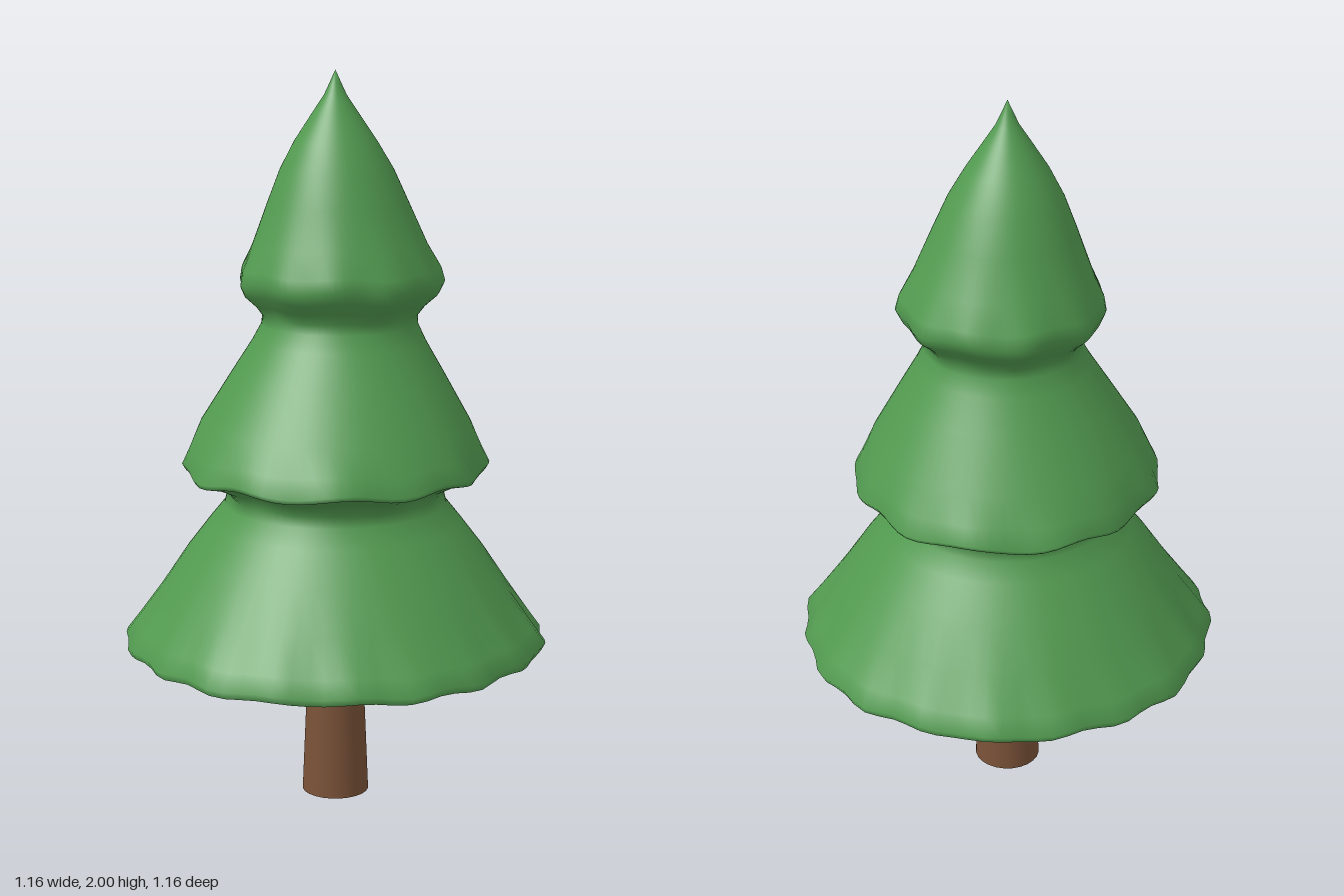
import * as THREE from 'three';
import { mergeVertices } from 'three/addons/utils/BufferGeometryUtils.js';

const leafGreen = new THREE.MeshStandardMaterial({ color: 0x529a50 });
leafGreen.name = 'leaf green';
const barkBrown = new THREE.MeshStandardMaterial({ color: 0x7a5238 });
barkBrown.name = 'bark brown';

// Tier rims: height, how far the waviness reaches, and a phase for variety
const RIMS = [
  { y: 0.455, reach: 0.16, wave: 0.011, lift: 0.005, phase: 0.3, n: 19 },
  { y: 0.94, reach: 0.09, wave: 0.009, lift: 0.008, phase: 1.7, n: 13 },
  { y: 1.44, reach: 0.12, wave: 0.007, lift: 0.006, phase: 4.1, n: 11 },
];

// Gently ragged rims, with the crown leaning off centre
function shapeFoliage(geometry) {
  const p = geometry.attributes.position;
  for (let i = 0; i < p.count; i++) {
    const x = p.getX(i), y = p.getY(i), z = p.getZ(i);
    const r = Math.hypot(x, z);
    if (r < 1e-5) continue;
    const a = Math.atan2(z, x);
    let dr = 0, dy = 0;
    for (const rim of RIMS) {
      const w = Math.max(0, 1 - Math.abs(y - rim.y) / rim.reach);
      dr += w * rim.wave * (0.6 * Math.sin(rim.n * a + rim.phase) + 0.4 * Math.sin(7 * a + rim.phase * 2));
      dy += w * rim.lift * Math.sin((rim.n - 4) * a + rim.phase);
    }
    // The middle tier is slightly longer from front to back
    dr -= 0.013 * Math.cos(2 * a) * Math.max(0, 1 - Math.abs(y - 0.94) / 0.15);
    const lean = 0.014 * Math.max(0, 1 - Math.abs(y - 1.44) / 0.4);
    const s = (r + dr) / r;
    p.setXYZ(i, x * s + lean, y + dy, z * s - lean);
  }
}

// Lathe without a seam, so the shading runs smoothly all round
function foliageLathe(profile) {
  const lathe = new THREE.LatheGeometry(profile.map(([r, y]) => new THREE.Vector2(r, y)), 80);
  lathe.deleteAttribute('uv');
  lathe.deleteAttribute('normal');
  const geometry = mergeVertices(lathe, 1e-4);
  shapeFoliage(geometry);
  geometry.computeVertexNormals();
  return geometry;
}

function addMesh(group, name, geometry, material) {
  const mesh = new THREE.Mesh(geometry, material);
  mesh.name = name;
  group.add(mesh);
}

export function createModel() {
  const tree = new THREE.Group();
  tree.name = 'pineTree';

  // Tapered trunk
  const trunk = new THREE.CylinderGeometry(0.074, 0.093, 0.45, 24);
  trunk.translate(0, 0.225, 0);
  addMesh(tree, 'trunk', trunk, barkBrown);

  // Three flared tiers in one skin
  addMesh(tree, 'foliage', foliageLathe([
    [0.565, 0.438], [0.575, 0.458], [0.545, 0.5], [0.48, 0.595], [0.41, 0.7],
    [0.345, 0.785], [0.308, 0.835], [0.302, 0.865], [0.322, 0.895], [0.37, 0.92],
    [0.42, 0.932], [0.428, 0.945], [0.405, 0.99], [0.37, 1.06], [0.29, 1.19],
    [0.235, 1.28], [0.212, 1.325], [0.21, 1.352], [0.23, 1.38], [0.262, 1.41],
    [0.275, 1.44], [0.268, 1.475], [0.235, 1.54], [0.19, 1.65], [0.152, 1.74],
    [0.11, 1.815], [0.06, 1.89], [0.03, 1.935], [0.016, 1.965], [0, 2],
  ]), leafGreen);

  // Flat underside sharing the ragged lower rim
  addMesh(tree, 'foliageUnderside', foliageLathe([
    [0, 0.446], [0.3, 0.444], [0.565, 0.438],
  ]), leafGreen);

  return tree;
}
